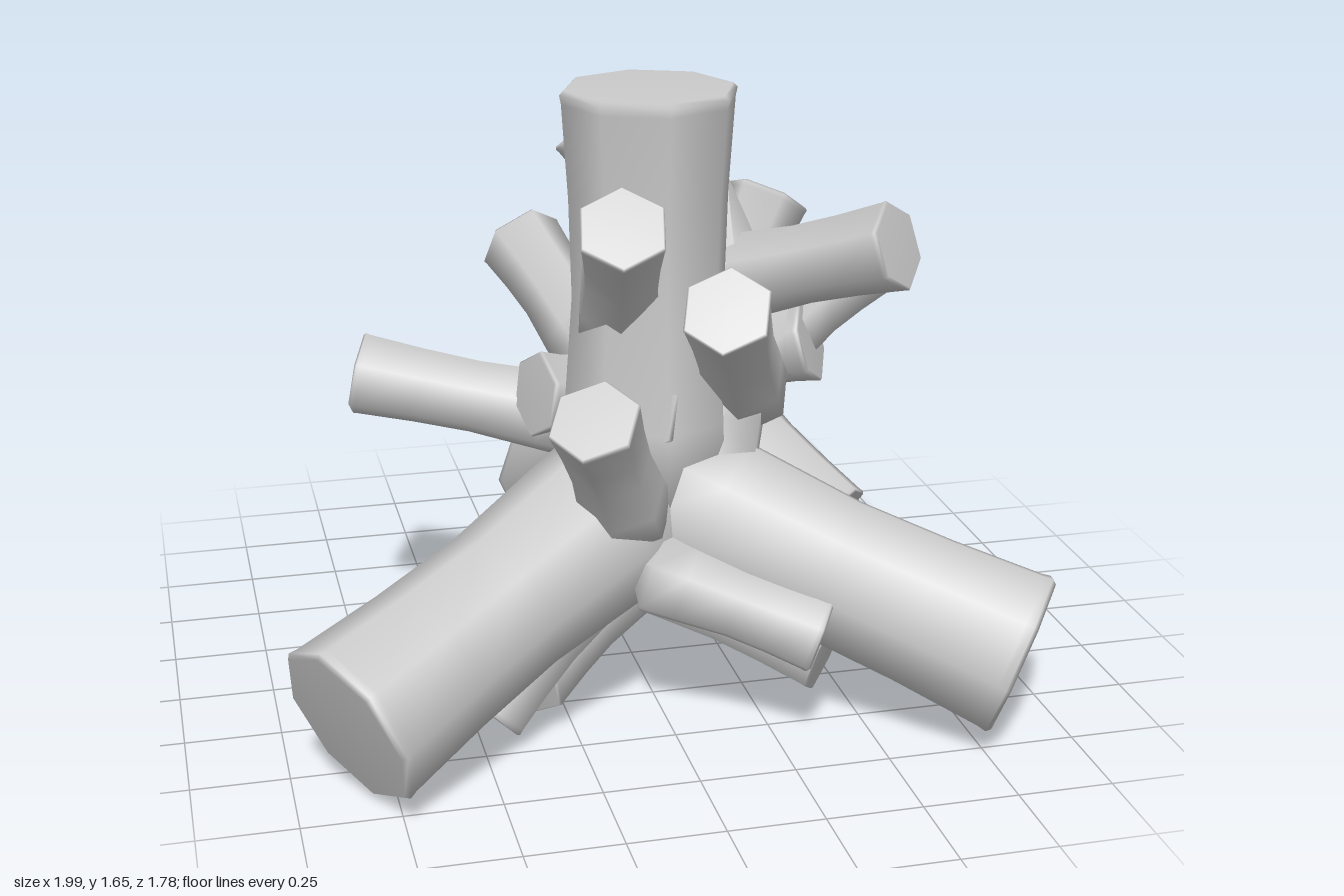
import * as THREE from 'three';

const material = new THREE.MeshStandardMaterial({ color: 0xcccccc });

// Rod with a thick closed root, a slight waist and a flared flat end with a tiny bevel
function rod(name, from, to, radius, sides) {
  const a = new THREE.Vector3(...from);
  const axis = new THREE.Vector3(...to).sub(a);
  const len = axis.length();
  const bevel = radius * 0.05;
  const profile = [
    [0, -radius * 0.6], [radius * 1.04, 0], [radius * 0.98, len * 0.2], [radius * 0.88, len * 0.5],
    [radius * 0.91, len * 0.74], [radius * 0.98, len - bevel * 3], [radius, len - bevel],
    [radius - bevel, len], [0, len],
  ].map(([x, y]) => new THREE.Vector2(x, y));
  const mesh = new THREE.Mesh(new THREE.LatheGeometry(profile, sides), material);
  mesh.name = name;
  mesh.position.copy(a);
  // Tilt from vertical, then turn, so that a corner stays uppermost
  mesh.rotation.set(Math.acos(axis.y / len), Math.atan2(axis.x, axis.z), 0, 'YXZ');
  return mesh;
}

export function createModel() {
  const group = new THREE.Group();
  group.name = 'rodCluster';

  // Large four-armed body: one arm up, three splayed down at tetrahedral angles
  const centre = [0, 0.575, 0.19];
  const reach = 1.07;
  group.add(rod('upperArm', centre, [0, centre[1] + reach, centre[2]], 0.23, 8));
  ['backLeg', 'frontLeftLeg', 'frontRightLeg'].forEach((name, i) => {
    const angle = Math.PI - (i * Math.PI * 2) / 3;
    const out = reach * Math.sqrt(8) / 3;
    const end = [Math.sin(angle) * out, centre[1] - reach / 3, centre[2] + Math.cos(angle) * out];
    group.add(rod(name, centre, end, 0.23, 8));
  });

  // Small hexagonal rods: root, tip
  const smallRods = [
    // front
    [[-0.08, 1.06, 0.2], [-0.14, 1.37, 0.5]],
    [[-0.1, 0.58, 0.38], [-0.24, 0.93, 0.62]],
    [[0.26, 0.82, 0.2], [0.1, 1.17, 0.58]],
    [[-0.04, 0.43, 0.42], [0.36, 0.29, 0.6]],
    // left side, upper
    [[0.2, 1.08, 0.05], [0.59, 1.26, 0.43]],
    [[0.3, 0.9, 0.12], [0.67, 1.06, -0.09]],
    [[0.28, 0.92, -0.14], [0.45, 1.23, -0.25]],
    [[0.2, 0.98, -0.03], [0.53, 0.88, -0.37]],
    [[0.2, 1.08, 0.03], [-0.09, 1.49, -0.12]],
    // left side, lower pair
    [[0.23, 0.74, -0.18], [0.09, 0.52, -0.64]],
    [[0.23, 0.74, -0.18], [0.53, 0.42, 0.17]],
    // right side and back
    [[-0.1, 0.68, -0.05], [-0.71, 0.8, -0.24]],
    [[-0.08, 0.88, -0.03], [-0.23, 1.11, -0.38]],
    [[-0.05, 0.8, -0.13], [0.18, 0.9, -0.49]],
    // underside
    [[0, 0.27, 0.03], [0.45, 0.11, 0.36]],
    [[0, 0.27, 0.03], [-0.37, 0.13, 0.36]],
    [[0, 0.27, 0.03], [-0.04, 0.1, -0.4]],
    [[-0.15, 0.42, 0.33], [-0.48, 0.08, 0.41]],
    [[0, 0.5, 0.0], [-0.12, 0.12, -0.07]],
    // short stubs
    [[0.25, 0.86, 0.02], [0.46, 0.93, 0.14]],
    [[-0.05, 0.78, 0.0], [-0.28, 0.81, 0.07]],
    [[0.2, 0.83, 0.22], [0.16, 0.52, 0.32]],
    [[0.1, 0.8, 0.2], [-0.06, 0.84, 0.34]],
  ];
  smallRods.forEach(([from, to]) => group.add(rod('smallRod', from, to, 0.118, 6)));

  // Pointed tips between the rods
  for (const [x, y, z] of [[0.24, 1.38, 0.06], [0.22, 1.08, -0.16]]) {
    const tip = new THREE.Mesh(new THREE.ConeGeometry(0.12, 0.25, 6), material);
    tip.name = 'pointedTip';
    tip.position.set(x, y - 0.125, z);
    group.add(tip);
  }
  return group;
}
